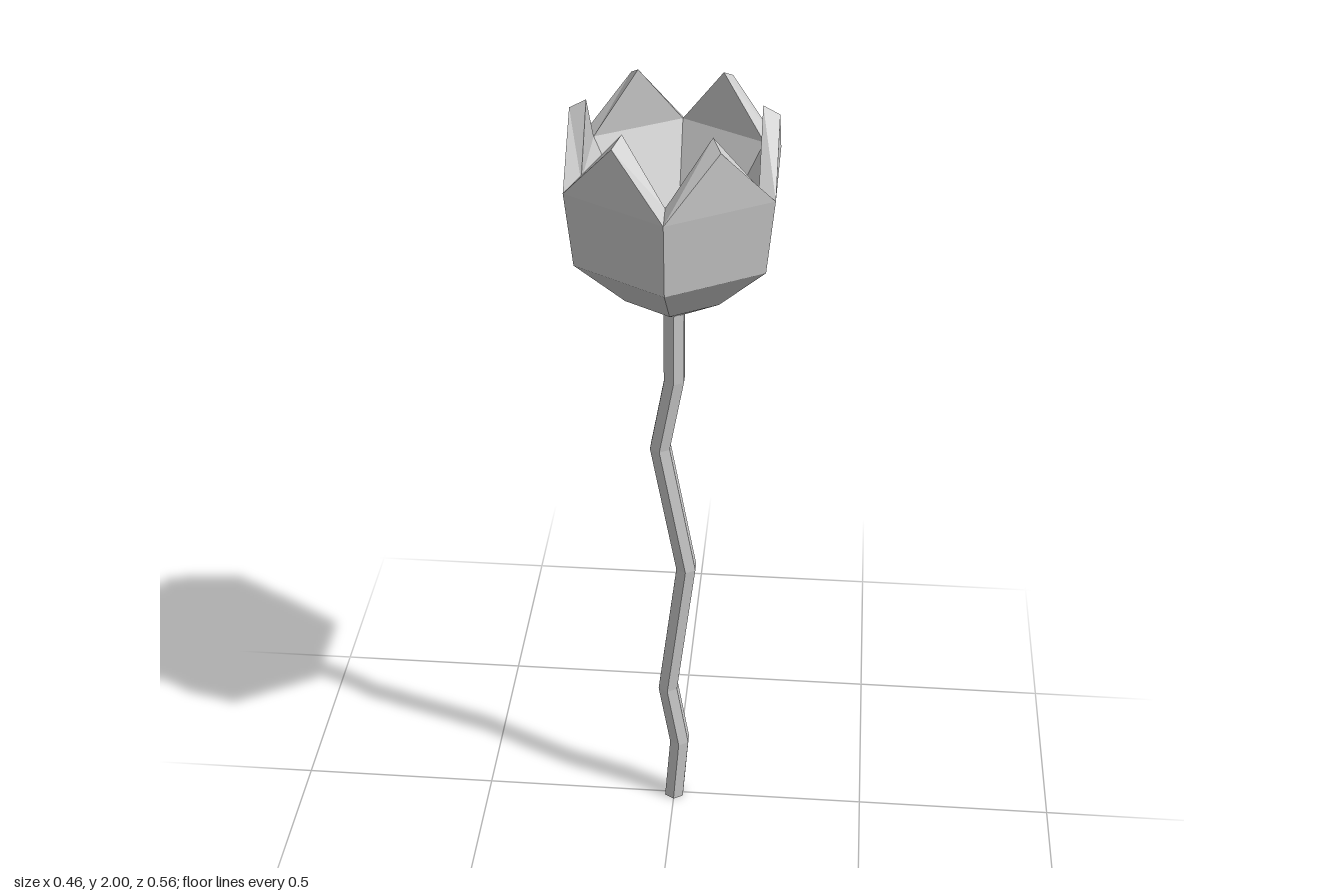
import * as THREE from 'three';

const SIDES = 12; // six corners plus the middle of each side

// Hexagonal ring with corners at +z and -z; midY lifts the side middles
function ring(radius, y, midY = y, cx = 0) {
  const corner = (k) => {
    const a = (k * Math.PI) / 3;
    return new THREE.Vector3(cx + Math.sin(a) * radius * 0.95, y, Math.cos(a) * radius);
  };
  const points = [];
  for (let k = 0; k < 6; k++) {
    const mid = corner(k).lerp(corner(k + 1), 0.5);
    mid.y = midY;
    points.push(corner(k), mid);
  }
  return points;
}

// Skins consecutive rings, leaving out collapsed triangles
function loft(rings, name, material) {
  const pos = [];
  const tri = (a, b, c) => {
    const area = b.clone().sub(a).cross(c.clone().sub(a)).length();
    if (area > 1e-7) for (const p of [a, b, c]) pos.push(p.x, p.y, p.z);
  };
  for (let i = 0; i < rings.length - 1; i++) {
    for (let j = 0; j < SIDES; j++) {
      const n = (j + 1) % SIDES;
      const lower = rings[i], upper = rings[i + 1];
      tri(lower[j], lower[n], upper[n]);
      tri(lower[j], upper[n], upper[j]);
    }
  }
  const geometry = new THREE.BufferGeometry();
  geometry.setAttribute('position', new THREE.Float32BufferAttribute(pos, 3));
  geometry.computeVertexNormals();
  const mesh = new THREE.Mesh(geometry, material);
  mesh.name = name;
  return mesh;
}

export function createModel() {
  const group = new THREE.Group();
  group.name = 'flower';
  const material = new THREE.MeshStandardMaterial({ color: 0xcccccc, flatShading: true });

  // Crooked stem: x offset and height of each bend
  const bends = [[0, 0], [0.014, 0.19], [-0.016, 0.37], [0.03, 0.755], [-0.034, 1.11], [0, 1.3], [0, 1.5]];
  const stem = bends.map(([x, y]) => ring(0.029, y, y, x));
  group.add(loft([ring(0, 0), ...stem, ring(0, 1.5)], 'stem', material));

  // Blossom: outer cup, pointed petal rim, then the hollow inside
  group.add(loft([
    ring(0, 1.485),
    ring(0.032, 1.485),
    ring(0.13, 1.54),
    ring(0.26, 1.66),
    ring(0.281, 1.84),
    ring(0.281, 1.84, 1.98), // outer petal points
    ring(0.235, 1.86, 2.0), // inner petal points
    ring(0.235, 1.86),
    ring(0.133, 1.69), // floor of the hollow
    ring(0, 1.69),
  ], 'blossom', material));

  return group;
}
